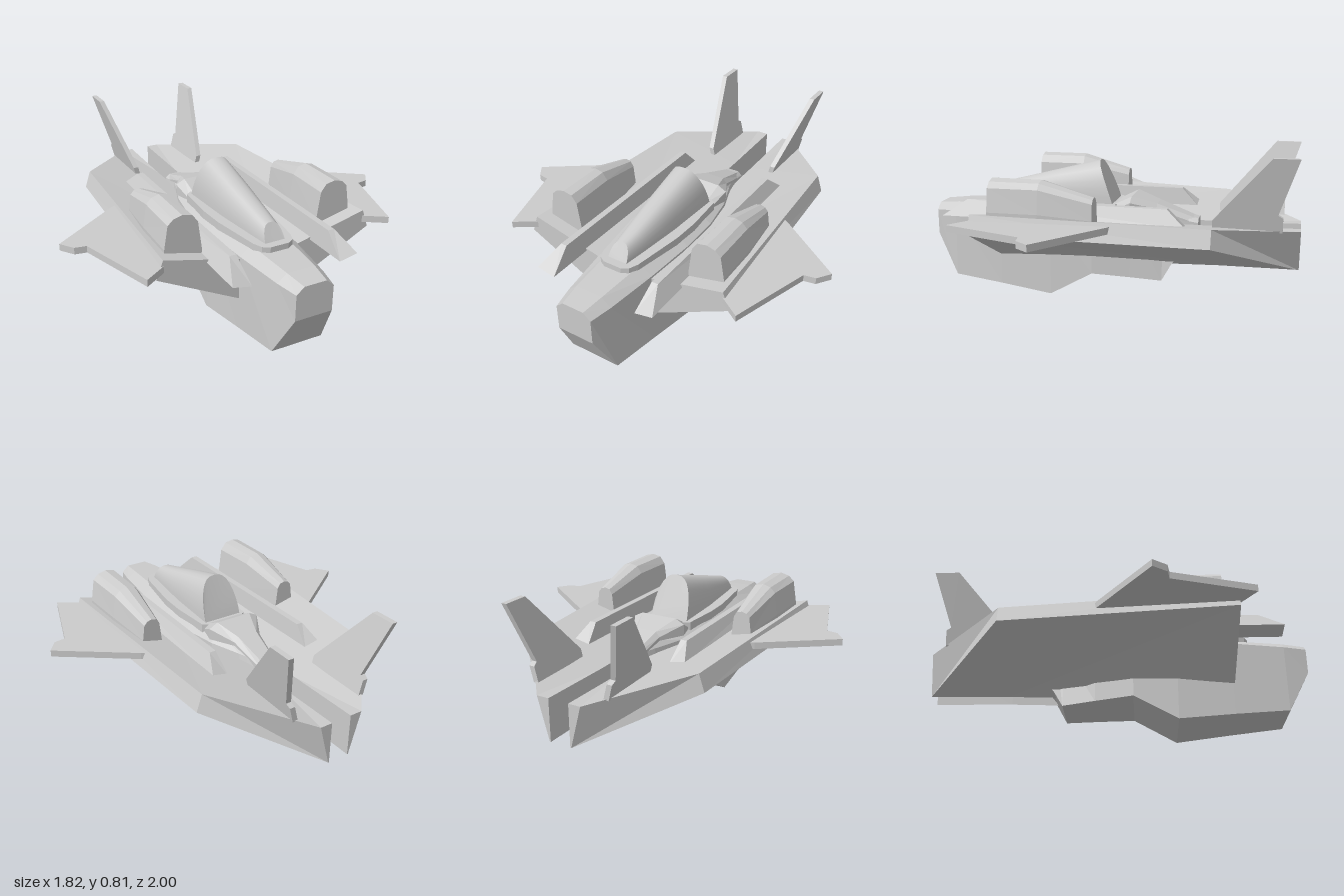
import * as THREE from 'three';
import { toCreasedNormals } from 'three/addons/utils/BufferGeometryUtils.js';

const material = new THREE.MeshStandardMaterial({ color: 0xcccccc, flatShading: true });
const smooth = new THREE.MeshStandardMaterial({ color: 0xcccccc });

// Skin rings of [x, y, z] points; rings run front to back, counter-clockwise seen from +z.
function loft(rings) {
  const pos = [], n = rings[0].length;
  const tri = (a, b, c) => pos.push(...a, ...b, ...c);
  for (let r = 0; r < rings.length - 1; r++) {
    const A = rings[r], B = rings[r + 1];
    for (let i = 0; i < n; i++) {
      const j = (i + 1) % n;
      tri(A[i], B[i], A[j]);
      tri(A[j], B[i], B[j]);
    }
  }
  const first = rings[0], last = rings[rings.length - 1];
  for (let i = 1; i < n - 1; i++) {
    tri(first[0], first[i], first[i + 1]);
    tri(last[0], last[i + 1], last[i]);
  }
  const geo = new THREE.BufferGeometry();
  geo.setAttribute('position', new THREE.Float32BufferAttribute(pos, 3));
  geo.computeVertexNormals();
  return geo;
}

// Right half of a ring, bottom to top, completed by its mirror image.
const symmetric = half => [...half, ...half.slice().reverse().map(([x, y, z]) => [-x, y, z])];

function plate(points, depth) {
  const shape = new THREE.Shape(points.map(p => new THREE.Vector2(...p)));
  return new THREE.ExtrudeGeometry(shape, { depth, bevelEnabled: false });
}

function mirrored(source) {
  const geo = source.index ? source.toNonIndexed() : source.clone();
  const p = geo.attributes.position;
  for (let i = 0; i < p.count; i += 3) {
    const v = [0, 2, 1].map(k => new THREE.Vector3().fromBufferAttribute(p, i + k));
    v.forEach((q, k) => p.setXYZ(i + k, -q.x, q.y, q.z));
  }
  geo.computeVertexNormals();
  return geo;
}

export function createModel() {
  const model = new THREE.Group();
  model.name = 'spacecraft';
  const add = (name, geo, mat = material) => {
    const mesh = new THREE.Mesh(geo, mat);
    mesh.name = name;
    model.add(mesh);
  };
  const addPair = (name, geo) => {
    add(name + 'Left', geo);
    add(name + 'Right', mirrored(geo));
  };

  // Central fuselage: z, bottom half-width and y, shoulder half-width and y, ridge y
  add('fuselage', loft([
    [1, .10, .28, .10, .415, .45],
    [.88, .14, .055, .125, .42, .462],
    [.6, .165, .03, .16, .43, .475],
    [.31, .19, 0, .18, .435, .485],
    [.08, .185, .13, .175, .435, .485],
    [-.12, .155, .115, .14, .435, .48],
    [-.29, .13, .1, .075, .43, .47],
    [-.34, .11, .19, .06, .43, .46],
    [-.47, .055, .36, .055, .41, .43],
  ].map(([z, wb, yb, wt, yt, yr]) =>
    symmetric([[wb, yb, z], [wt, yt, z], [wt * .6, yr, z]]))));

  // Canopy surround, a rounded tapering rim
  const rim = [[-.08, -.06], [.08, -.06], [.135, -.02], [.15, .2], [.145, .35], [.105, .63], [.085, .68], [.05, .7]];
  const rimShape = [...rim.slice(1), ...rim.slice(2).reverse().map(([x, z]) => [-x, z]), rim[0]];
  add('canopyRim', plate(rimShape, .05).rotateX(Math.PI / 2).translate(0, .5, 0));

  // Bubble canopy with sloping nose cap and raked back
  const canopyRing = ([zBase, zTop, w, top]) => Array.from({ length: 17 }, (_, i) => {
    const a = i / 16 * Math.PI, c = Math.cos(a), s = Math.sin(a);
    return [w * Math.sign(c) * Math.abs(c) ** .75, .485 + (top - .485) * s ** .9, zBase + (zTop - zBase) * s];
  });
  add('canopy', toCreasedNormals(loft([
    [.665, .61, .055, .582],
    [.53, .53, .07, .602],
    [.3, .3, .094, .662],
    [-.02, .07, .11, .722],
  ].map(canopyRing)), .6), smooth);

  // Faceted fairing behind the canopy
  add('canopyFairing', loft([
    [-.01, .12, .12, .49],
    [-.12, .15, .135, .545],
    [-.25, .08, .075, .505],
    [-.46, .05, .045, .43],
  ].map(([z, wb, wt, top]) => symmetric([[wb, Math.min(.46, top - .03), z], [wb, top - .025, z], [wt * .75, top, z]]))));

  // Wedge-shaped hull halves
  addPair('hull', loft([
    [[.055, .145, .605], [.595, .42, .605], [.56, .515, .605], [.055, .395, .605]],
    [[.055, .185, -.585], [.515, .40, -.585], [.485, .49, -.585], [.055, .40, -.585]],
    [[.055, .19, -1], [.06, .19, -1], [.12, .41, -1], [.055, .41, -1]],
  ]));

  // Swept side wings
  addPair('wing', plate([
    [.5, -.11], [.54, -.09], [.91, .18], [.86, .25], [.80, .26], [.67, .68], [.55, .6], [.5, .6],
  ], .035).rotateX(Math.PI / 2).translate(0, .485, 0));

  // Long rails with slanted ends
  const rail = (z, zTop, out) => [[.24, .425, z], [out, .445, z], [.288, .53, zTop], [.254, .53, zTop]];
  addPair('rail', loft([rail(.855, .73, .34), rail(-.44, -.34, .33)]));

  // Domed engine pods tapering to the back
  const dome = [[.325, .44], [.52, .44], [.52, .52], [.5, .64], [.47, .668], [.425, .68], [.375, .67], [.345, .63], [.325, .48]];
  const podRing = (z, sx, sy) => dome.map(([x, y]) => [.425 + (x - .425) * sx, .44 + (y - .44) * sy, z]);
  addPair('enginePod', loft([podRing(.53, 1, 1), podRing(.27, .92, 1), podRing(0, .56, .68)]));

  // Canted tail fins
  const fin = plate([
    [-.56, .43], [-.56, .47], [-.85, .81], [-.98, .81], [-.885, .515], [-.91, .5], [-.91, .42], [-.85, .42],
  ], .028).rotateY(-Math.PI / 2);
  const p = fin.attributes.position;
  for (let i = 0; i < p.count; i++) p.setX(i, p.getX(i) + .214 + (p.getY(i) - .44) * .25);
  fin.computeVertexNormals();
  addPair('tailFin', fin);

  return model;
}
